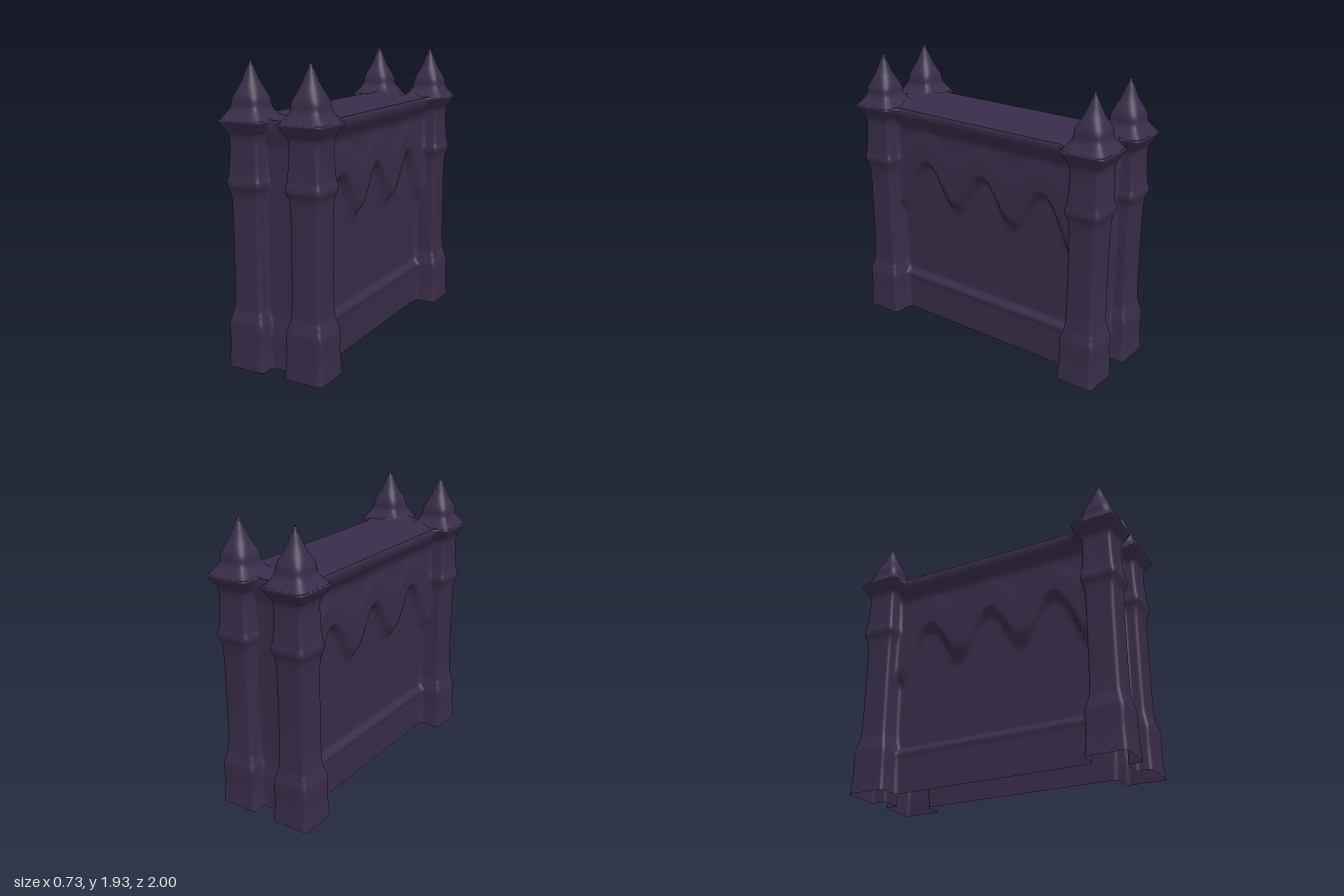
import * as THREE from 'three';
import { toCreasedNormals } from 'three/addons/utils/BufferGeometryUtils.js';

const { smoothstep: smooth, lerp } = THREE.MathUtils;
const bump = (v, c, w) => Math.exp(-(((v - c) / w) ** 2));

const TOP = 1.578;   // height of the wall top
const TX = 0.21;     // tower centres
const TZ = 0.845;

// Smooth profile through [size, height] pairs
const profileOf = (pairs, n) =>
  new THREE.SplineCurve(pairs.map(([r, y]) => new THREE.Vector2(r, y))).getPoints(n);

// Half width of the square towers from the ground to the collar
const towerRows = profileOf([
  [0.136, 0], [0.127, 0.14], [0.128, 0.28], [0.113, 0.35], [0.102, 0.43],
  [0.099, 0.75], [0.102, 1.08], [0.122, 1.18], [0.113, 1.24], [0.106, 1.35],
  [0.106, 1.47], [0.130, 1.52], [0.155, 1.565], [0.151, TOP],
], 117);

// Half thickness of the wall: plinth, recessed panel, three scalloped arches, cornice
function wallDepth(y, z) {
  const az = Math.abs(z);
  const wave = Math.cos((2 * Math.PI * z) / 0.48);
  const arch = 1.025 + 0.135 * wave - 0.1 * smooth(az, 0.58, 0.74);
  const plinth = 0.03 * (1 - smooth(y, 0.25, 0.33)) + 0.018 * bump(y, 0.285, 0.022);
  const scallop = 0.056 * smooth(y, arch - 0.02, arch + 0.07);
  const upperArch = 1.33 + 0.07 * wave;
  const hollow = -0.01 * smooth(y, upperArch - 0.07, upperArch + 0.07);
  const cornice = 0.058 * smooth(y, 1.41, 1.55);
  const rounding = -0.006 * smooth(y, 1.56, TOP);
  return 0.162 + plinth + scallop + hollow + cornice + rounding;
}

// Distance of the narrow end wall from the middle
const endDepth = (y) => 0.855 + 0.022 * (1 - smooth(y, 0.2, 0.36)) + 0.025 * smooth(y, 1.4, 1.54);

// Rounded corner at b, starting s before it (towards a) and ending s after it (towards c)
function corner(a, b, c, s) {
  const before = b.clone().add(a.clone().sub(b).setLength(s));
  const after = b.clone().add(c.clone().sub(b).setLength(s));
  return new THREE.QuadraticBezierCurve(before, b, after).getPoints(6);
}

// Plan outline at one height: one quarter, mirrored to a closed loop
function outline(r, y) {
  const v = (x, z) => new THREE.Vector2(x, z);
  const end = endDepth(y), inner = TZ - r, d = wallDepth(y, inner);
  const flare = 0.035 + 0.028 * smooth(y, 1.48, 1.56);
  const round = 0.03 + 0.006 * smooth(y, 1.48, 1.56);
  const p = [
    v(0, end), v(TX - r, end), v(TX - r, TZ + r), v(TX + r, TZ + r),
    v(TX + r, inner), v(d, inner), v(d, 0),
  ];
  const sizes = [0, 0.025, round, round, round, flare];
  const quarter = [p[0]];
  for (let i = 1; i < 6; i++) quarter.push(...corner(p[i - 1], p[i], p[i + 1], sizes[i]));
  const steps = 46;
  for (let i = 1; i <= steps; i++) {
    const z = lerp(inner - flare, 0, i / steps);
    quarter.push(v(wallDepth(y, z), z));
  }
  const half = [...quarter, ...quarter.slice(0, -1).reverse().map((q) => v(q.x, -q.y))];
  return [...half, ...half.slice(1, -1).reverse().map((q) => v(-q.x, q.y))];
}

// Walls and towers as one skin, open underneath
function bodyGeometry() {
  const rows = towerRows.map((t) => outline(t.x, t.y));
  const n = rows[0].length, positions = [], index = [];
  rows.forEach((row, j) => row.forEach((q) => positions.push(q.x, towerRows[j].y, q.y)));
  for (let j = 0; j < rows.length - 1; j++) {
    for (let i = 0; i < n; i++) {
      const a = j * n + i, b = j * n + ((i + 1) % n);
      index.push(a, b, b + n, a, b + n, a + n);
    }
  }
  const geo = new THREE.BufferGeometry();
  geo.setAttribute('position', new THREE.Float32BufferAttribute(positions, 3));
  geo.setIndex(index);
  geo.computeVertexNormals();
  return geo;
}

// Flat roof with the plan of the topmost outline
function roofGeometry() {
  const plan = outline(towerRows[towerRows.length - 1].x, TOP);
  const geo = new THREE.ShapeGeometry(new THREE.Shape(plan.map((q) => new THREE.Vector2(q.x, -q.y))));
  geo.rotateX(-Math.PI / 2);
  geo.translate(0, TOP, 0);
  return geo;
}

// Spire: a lathe whose circle is squared off towards its foot
function spireGeometry() {
  const pts = profileOf([
    [0.150, TOP], [0.132, 1.6], [0.103, 1.645], [0.097, 1.70], [0.078, 1.75],
    [0.050, 1.81], [0.026, 1.87], [0, 1.93],
  ], 42);
  const geo = new THREE.LatheGeometry(pts, 48, Math.PI / 4);
  const pos = geo.attributes.position;
  for (let i = 0; i < pos.count; i++) {
    const x = pos.getX(i), y = pos.getY(i), z = pos.getZ(i);
    const r = Math.hypot(x, z);
    if (r < 1e-5) continue;
    const n = lerp(7, 2.2, smooth(y, 1.57, 1.80));
    const k = Math.pow(Math.abs(x / r) ** n + Math.abs(z / r) ** n, -1 / n);
    pos.setXYZ(i, x * k, y, z * k);
  }
  return toCreasedNormals(geo, 0.9);
}

// Curved saddle that sweeps from the roof up to a pair of spires
function saddleGeometry() {
  const geo = new THREE.PlaneGeometry(0.44, 0.27, 32, 16);
  geo.rotateX(-Math.PI / 2);
  const pos = geo.attributes.position;
  for (let i = 0; i < pos.count; i++) {
    const x = pos.getX(i), z = pos.getZ(i) + 0.74, ax = Math.abs(x);
    const swell = smooth(ax, 0.03, 0.13) * (1 - smooth(ax, 0.14, 0.22));
    pos.setXYZ(i, x, TOP + 0.001 + 0.05 * swell * smooth(z, 0.63, 0.80), z);
  }
  geo.computeVertexNormals();
  return geo;
}

export function createModel() {
  const model = new THREE.Group();
  model.name = 'gothicWall';
  const stone = new THREE.MeshStandardMaterial({ color: 0x382d4a, side: THREE.DoubleSide });
  stone.name = 'dark purple stone';

  const add = (name, geo) => {
    const mesh = new THREE.Mesh(geo, stone);
    mesh.name = name;
    model.add(mesh);
    return mesh;
  };

  add('wallAndTowers', bodyGeometry());
  add('roof', roofGeometry());

  const spire = spireGeometry(), saddle = saddleGeometry();
  for (const [zName, sz] of [['front', 1], ['back', -1]]) {
    add(zName + 'Saddle', saddle).rotation.y = sz > 0 ? 0 : Math.PI;
    for (const [xName, sx] of [['Left', 1], ['Right', -1]]) {
      add(zName + xName + 'Spire', spire).position.set(sx * TX, 0, sz * TZ);
    }
  }
  return model;
}
